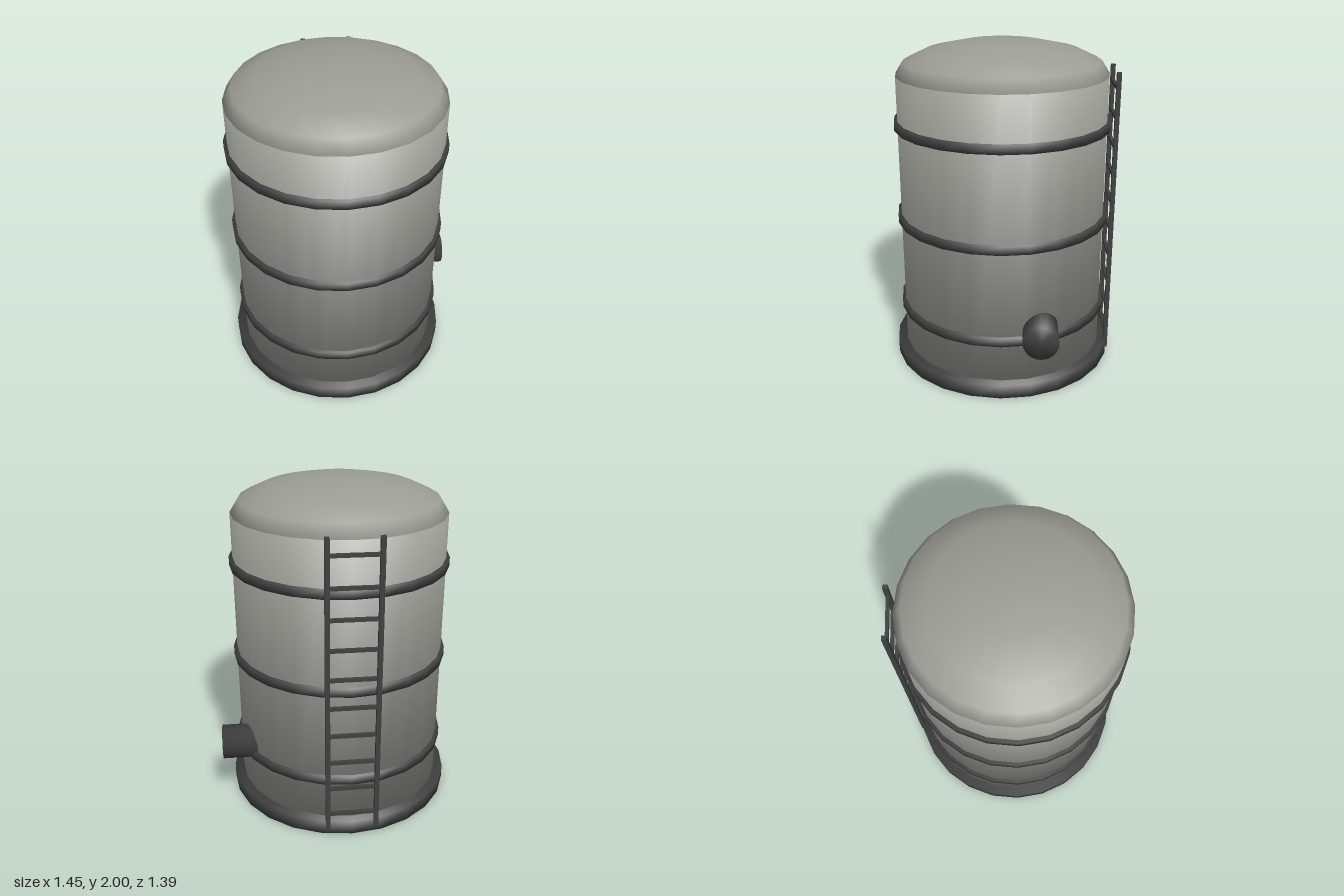
import * as THREE from 'three';

const CX = -0.03;   // tank axis
const SIDES = 24;

// Cylinder whose rim normals are blended between wall and caps
function softCylinder(r, h, sides = SIDES) {
  const g = new THREE.CylinderGeometry(r, r, h, sides);
  const p = g.attributes.position, n = g.attributes.normal;
  for (let i = 0; i < p.count; i++) {
    const x = p.getX(i), z = p.getZ(i), len = Math.hypot(x, z);
    if (len < 1e-6) continue;
    const v = new THREE.Vector3(x / len, 0.85 * Math.sign(p.getY(i)), z / len).normalize();
    n.setXYZ(i, v.x, v.y, v.z);
  }
  return g;
}

export function createModel() {
  const model = new THREE.Group();
  model.name = 'storageTank';
  const shell = new THREE.MeshStandardMaterial({ color: 0x9c9d96 });
  shell.name = 'paleGrey';
  const iron = new THREE.MeshStandardMaterial({ color: 0x404041 });
  iron.name = 'darkGrey';

  const add = (name, geometry, material, x, y, z, parent = model) => {
    const mesh = new THREE.Mesh(geometry, material);
    mesh.name = name;
    mesh.position.set(x, y, z);
    parent.add(mesh);
    return mesh;
  };

  // Base plinth, wall and shallow domed roof
  add('base', softCylinder(0.695, 0.085), iron, CX, 0.0425, 0);
  add('tankWall', softCylinder(0.637, 1.76), shell, CX, 0.92, 0);
  const dome = new THREE.SphereGeometry(0.637, SIDES, 4, 0, Math.PI * 2, 0, Math.PI / 2);
  dome.scale(1, 0.2 / 0.637, 1);
  add('domeRoof', dome, shell, CX, 1.8, 0);

  // Reinforcing hoops
  for (const y of [0.35, 0.93, 1.51]) add('hoop', softCylinder(0.657, 0.053), iron, CX, y, 0);

  // Outlet pipe on the left side
  const pipe = add('outletPipe', softCylinder(0.104, 0.24), iron, 0.602, 0.407, -0.233);
  pipe.rotation.z = -Math.PI / 2;

  // Ladder at the back
  const ladder = new THREE.Group();
  ladder.name = 'ladder';
  model.add(ladder);
  const railX = 0.144, ladderZ = -0.674;
  for (const side of [-1, 1]) {
    add('ladderRail', new THREE.BoxGeometry(0.027, 1.8, 0.027), iron, CX + side * railX, 0.93, ladderZ, ladder);
  }
  for (let i = 0; i < 10; i++) {
    add('ladderRung', new THREE.BoxGeometry(2 * railX, 0.02, 0.02), iron, CX, 0.14 + i * 0.177, ladderZ, ladder);
  }
  return model;
}
